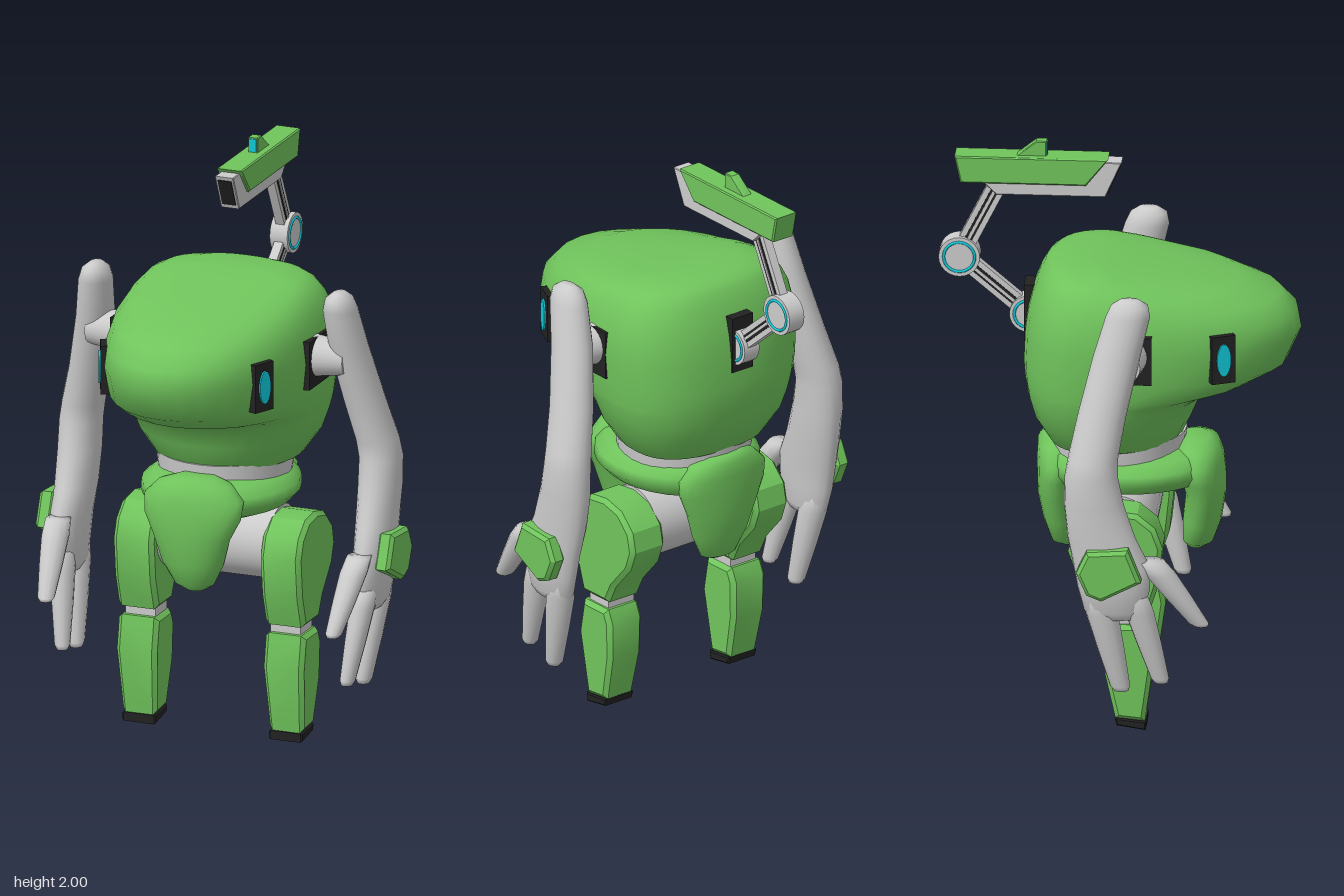
import * as THREE from 'three';
import { toCreasedNormals } from 'three/addons/utils/BufferGeometryUtils.js';

const mat = (color) => new THREE.MeshStandardMaterial({ color });
const grey = mat(0xcccccc), green = mat(0x70c45c), dark = mat(0x222222), cyan = mat(0x10c8d8);

function add(parent, name, geometry, material, x = 0, y = 0, z = 0) {
  const mesh = new THREE.Mesh(geometry, material);
  mesh.name = name;
  mesh.position.set(x, y, z);
  parent.add(mesh);
  return mesh;
}

// Skin over horizontal rings, bottom to top: [y, zFront, zBack, halfWidth, centreX]
function loft(rings, { seg = 20, zc, nF = 2, nB = 2 } = {}) {
  const pos = [], idx = [];
  for (const [y, zF, zB, w, cx = 0] of rings) {
    const mid = zc === undefined || zc > zF || zc < zB ? (zF + zB) / 2 : zc;
    for (let j = 0; j < seg; j++) {
      const a = (j / seg) * Math.PI * 2, s = Math.sin(a), c = Math.cos(a);
      const e = 2 / (c > 0 ? nF : nB);
      pos.push(cx + w * Math.sign(s) * Math.abs(s) ** e, y,
        mid + (c > 0 ? zF - mid : mid - zB) * Math.sign(c) * Math.abs(c) ** e);
    }
  }
  const n = rings.length;
  for (let i = 0; i < n - 1; i++) for (let j = 0; j < seg; j++) {
    const a = i * seg + j, b = i * seg + (j + 1) % seg;
    idx.push(a, b, b + seg, a, b + seg, a + seg);
  }
  for (const i of [0, n - 1]) {
    const [y, zF, zB, , cx = 0] = rings[i], centre = pos.length / 3;
    pos.push(cx, y, (zF + zB) / 2);
    for (let j = 0; j < seg; j++) {
      const a = i * seg + j, b = i * seg + (j + 1) % seg;
      if (i) idx.push(a, b, centre); else idx.push(b, a, centre);
    }
  }
  const g = new THREE.BufferGeometry();
  g.setAttribute('position', new THREE.Float32BufferAttribute(pos, 3));
  g.setIndex(idx);
  g.computeVertexNormals();
  return g;
}

// Side profile of [z, y] points, given thickness from x0 to x1
function slab(pts, x0, x1, bevel = 0.01) {
  const shape = new THREE.Shape(pts.map(([z, y]) => new THREE.Vector2(z, y)));
  const g = new THREE.ExtrudeGeometry(shape, {
    depth: x1 - x0 - 2 * bevel, bevelEnabled: bevel > 0, bevelSize: bevel,
    bevelThickness: bevel, bevelOffset: -bevel, bevelSegments: 1,
  });
  g.rotateY(-Math.PI / 2).translate(x1 - bevel, 0, 0);
  return toCreasedNormals(g, 0.55);
}

// Cylinder lying along x
const axle = (r0, r1, len, seg = 24) => new THREE.CylinderGeometry(r1, r0, len, seg).rotateZ(-Math.PI / 2);

// Flat bar between two points of the yz plane
function bar(parent, name, material, a, b, w, t) {
  const dz = b[0] - a[0], dy = b[1] - a[1];
  const m = add(parent, name, new THREE.BoxGeometry(w, t, Math.hypot(dz, dy)), material,
    0, (a[1] + b[1]) / 2, (a[0] + b[0]) / 2);
  m.rotation.x = -Math.atan2(dy, dz);
}

function makeSide() {
  const side = new THREE.Group();

  // Eye panel
  const eye = new THREE.Group();
  eye.name = 'eye';
  eye.position.set(0.277, 1.335, 0.36);
  eye.rotation.y = -0.42;
  add(eye, 'eyePanel', new THREE.BoxGeometry(0.05, 0.17, 0.085), dark);
  add(eye, 'eyeLens', axle(1, 1, 0.01).scale(1, 0.058, 0.025), cyan, 0.026);
  side.add(eye);

  // Shoulder and arm
  add(side, 'shoulderSocket', new THREE.BoxGeometry(0.04, 0.17, 0.17), dark, 0.345, 1.345, 0.045);
  add(side, 'shoulder', axle(0.082, 0.055, 0.18), grey, 0.38, 1.36, 0.045);
  add(side, 'arm', loft([
    [0.49, 0.1, -0.06, 0.03, 0.55], [0.52, 0.12, -0.085, 0.048, 0.552], [0.6, 0.14, -0.105, 0.058, 0.556],
    [0.68, 0.14, -0.12, 0.062, 0.555], [0.78, 0.09, -0.14, 0.067, 0.55], [0.9, 0.05, -0.152, 0.072, 0.549],
    [1.0, 0.03, -0.15, 0.073, 0.548], [1.06, 0.03, -0.14, 0.073, 0.538], [1.2, 0.055, -0.11, 0.07, 0.503],
    [1.4, 0.1, -0.06, 0.065, 0.463], [1.54, 0.132, -0.018, 0.057, 0.447], [1.58, 0.125, 0.0, 0.045, 0.445],
    [1.6, 0.095, 0.03, 0.02, 0.445],
  ]), grey);

  // Digits: root and tip as [x, y, z], with root radius
  const digits = [
    ['thumb', [0.55, 0.7, 0.14], [0.525, 0.46, 0.31], 0.055],
    ['frontFinger', [0.555, 0.58, 0.085], [0.52, 0.25, 0.175], 0.05],
    ['rearFinger', [0.555, 0.58, -0.04], [0.525, 0.22, 0.04], 0.055],
  ];
  for (const [name, a, b, r] of digits) {
    const rings = [[1, 0.45], [0.95, 0.62], [0.55, 0.85], [0.2, 1], [0, 0.9]].map(([t, k]) => {
      const [x, y, z] = a.map((v, i) => v + (b[i] - v) * t);
      return [y, z + r * k, z - r * k, r * k * 0.85, x];
    });
    add(side, name, loft(rings, { seg: 12 }), grey);
  }
  add(side, 'handPad', slab([[0.07, 0.765], [0.115, 0.65], [-0.02, 0.58], [-0.07, 0.6], [-0.105, 0.68], [-0.07, 0.755]], 0.59, 0.648, 0.012), green);

  // Leg
  add(side, 'thigh', slab([[0.115, 0.41], [0.15, 0.52], [0.165, 0.66], [0.14, 0.73], [0.08, 0.78], [0, 0.79],
    [-0.08, 0.77], [-0.14, 0.71], [-0.155, 0.64], [-0.13, 0.57], [-0.05, 0.48], [-0.015, 0.41]], 0.195, 0.342, 0.015), green);
  add(side, 'knee', new THREE.BoxGeometry(0.11, 0.07, 0.1), grey, 0.265, 0.39, 0.05);
  const shin = slab([[0.105, 0.03], [0.137, 0.26], [0.115, 0.38], [-0.01, 0.38], [-0.032, 0.33], [-0.03, 0.2], [0.005, 0.04]], 0.195, 0.342, 0.015);
  const p = shin.attributes.position; // taper towards the foot
  for (let i = 0; i < p.count; i++) p.setX(i, 0.268 + (p.getX(i) - 0.268) * (0.82 + 0.18 * Math.min(1, p.getY(i) / 0.25)));
  add(side, 'shin', shin, green);
  add(side, 'footSole', slab([[0.108, 0], [0.11, 0.032], [0.003, 0.042], [0.01, 0.015]], 0.207, 0.329, 0.005), dark);
  return side;
}

export function createModel() {
  const model = new THREE.Group();
  model.name = 'robot';

  // Egg-shaped body with a forward snout
  add(model, 'body', loft([
    [0.95, 0.18, -0.2, 0.22], [0.965, 0.21, -0.24, 0.25], [1.05, 0.25, -0.29, 0.31], [1.12, 0.28, -0.31, 0.335],
    [1.155, 0.34, -0.315, 0.345], [1.18, 0.45, -0.32, 0.35], [1.24, 0.565, -0.325, 0.357], [1.35, 0.612, -0.32, 0.366],
    [1.42, 0.6, -0.31, 0.358], [1.48, 0.54, -0.295, 0.345], [1.53, 0.4, -0.275, 0.32], [1.565, 0.19, -0.255, 0.29],
    [1.585, 0.06, -0.235, 0.25], [1.6, -0.04, -0.2, 0.17],
  ], { seg: 32, zc: -0.06, nF: 2.1, nB: 2.5 }), green);
  add(model, 'waist', new THREE.CylinderGeometry(0.235, 0.22, 0.14, 32), grey, 0, 0.91, -0.01);

  // Pelvis: belt, front and back flaps, hip axle
  add(model, 'belt', loft([
    [0.79, 0.24, -0.2, 0.17], [0.815, 0.3, -0.25, 0.235], [0.85, 0.325, -0.27, 0.268], [0.885, 0.325, -0.275, 0.265],
    [0.915, 0.3, -0.265, 0.225], [0.93, 0.25, -0.23, 0.18],
  ], { seg: 28 }), green);
  add(model, 'frontFlap', loft([
    [0.55, 0.28, 0.23, 0.03], [0.575, 0.315, 0.21, 0.07], [0.65, 0.342, 0.21, 0.11], [0.75, 0.357, 0.22, 0.14],
    [0.82, 0.357, 0.2, 0.175], [0.88, 0.35, 0.18, 0.18], [0.93, 0.335, 0.18, 0.13], [0.95, 0.3, 0.2, 0.07],
  ]), green);
  add(model, 'backFlap', loft([
    [0.55, -0.16, -0.2, 0.03], [0.57, -0.15, -0.235, 0.07], [0.65, -0.14, -0.262, 0.11], [0.74, -0.14, -0.28, 0.14],
    [0.82, -0.14, -0.282, 0.175], [0.88, -0.14, -0.283, 0.18], [0.93, -0.15, -0.28, 0.13], [0.95, -0.18, -0.26, 0.07],
  ]), green);
  add(model, 'hipAxle', axle(0.13, 0.13, 0.42, 28), grey, 0, 0.67, 0);

  // Paired parts
  const left = makeSide(), right = makeSide();
  left.name = 'leftSide';
  right.name = 'rightSide';
  right.scale.x = -1;
  model.add(left, right);

  // Folding arm on the back
  add(model, 'backSlot', new THREE.BoxGeometry(0.09, 0.2, 0.06), dark, 0, 1.39, -0.295);
  const low = [-0.31, 1.38], high = [-0.545, 1.58], mount = [-0.42, 1.83];
  for (const [a, b] of [[low, high], [high, mount]]) {
    bar(model, 'link', grey, a, b, 0.032, 0.062);
    bar(model, 'linkRail', dark, a, b, 0.036, 0.026);
    bar(model, 'linkRib', grey, a, b, 0.042, 0.01);
  }
  for (const [[z, y], r] of [[low, 0.065], [high, 0.07]]) {
    add(model, 'joint', axle(r, r, 0.064), grey, 0, y, z);
    for (const s of [-1, 1]) add(model, 'jointRing', new THREE.TorusGeometry(r * 0.75, 0.005, 6, 28).rotateY(Math.PI / 2), cyan, s * 0.032, y, z);
  }

  // Head-mounted launcher
  add(model, 'barrel', slab([[0.005, 1.935], [-0.05, 1.81], [-0.42, 1.81], [-0.47, 1.86], [-0.47, 1.935]], -0.034, 0.034, 0.003), grey);
  const muzzle = add(model, 'muzzle', new THREE.BoxGeometry(0.05, 0.105, 0.006), dark, 0, 1.873, -0.022);
  muzzle.rotation.x = Math.atan2(0.055, 0.125);
  add(model, 'barrelCover', slab([[-0.04, 1.948], [-0.56, 1.948], [-0.54, 1.853], [-0.115, 1.853]], -0.046, 0.046, 0.005), green);
  add(model, 'sight', slab([[-0.25, 1.94], [-0.25, 2], [-0.285, 2], [-0.36, 1.94]], -0.018, 0.018, 0.003), green);
  add(model, 'sightLens', new THREE.BoxGeometry(0.026, 0.045, 0.006), cyan, 0, 1.973, -0.25);
  return model;
}
